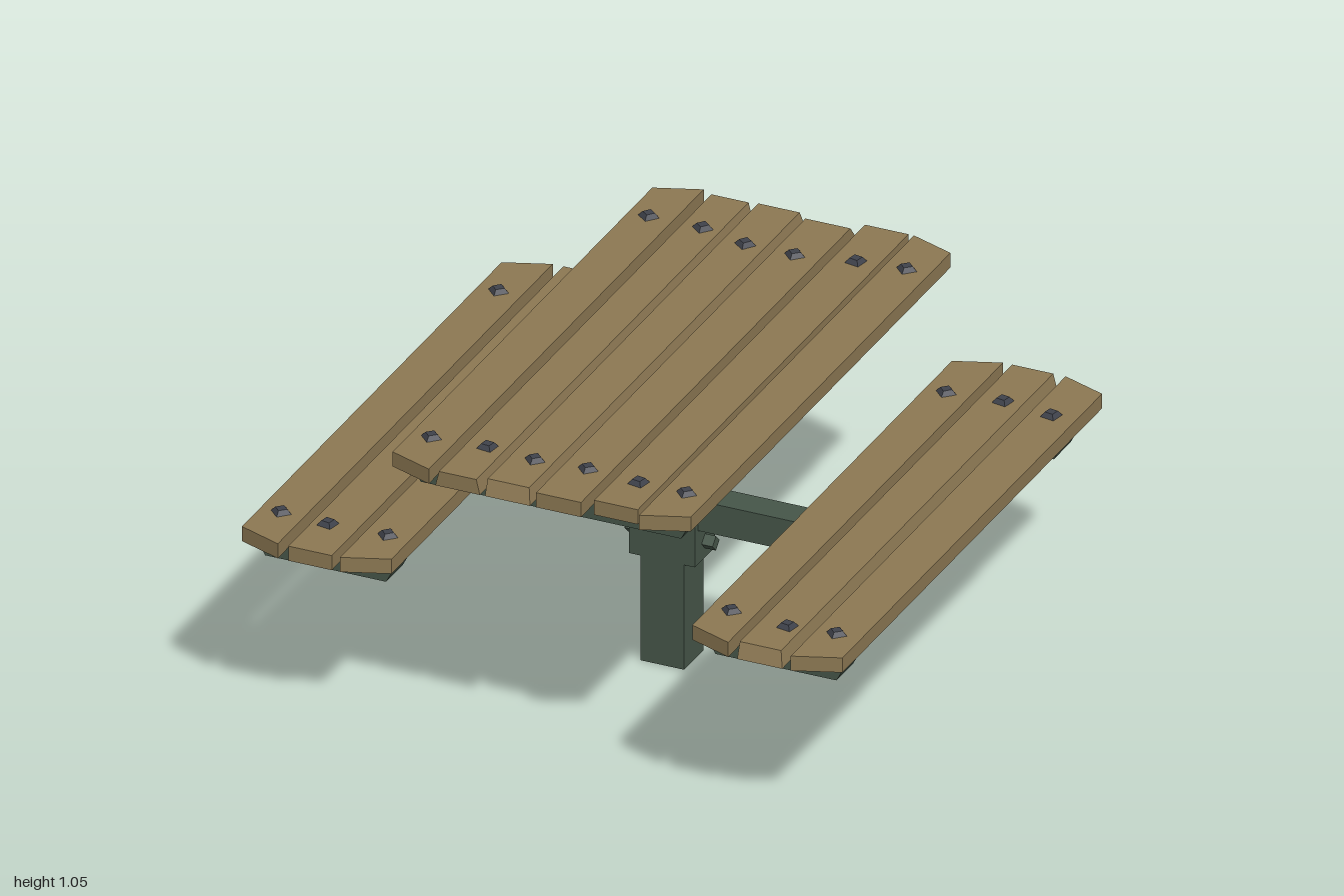
import * as THREE from 'three';

const wood = new THREE.MeshStandardMaterial({ color: 0x8c7853 });
wood.name = 'wood';
const green = new THREE.MeshStandardMaterial({ color: 0x465649 });
green.name = 'greenPaint';
const steel = new THREE.MeshStandardMaterial({ color: 0x3f424b });
steel.name = 'darkSteel';

export function createModel() {
  const model = new THREE.Group();
  model.name = 'picnicTable';

  const add = (name, geometry, material, x, y, z) => {
    const mesh = new THREE.Mesh(geometry, material);
    mesh.name = name;
    mesh.position.set(x, y, z);
    model.add(mesh);
    return mesh;
  };

  // Box given by its lower and upper limits
  const block = (name, x0, x1, y0, y1, z0, z1) =>
    add(name, new THREE.BoxGeometry(x1 - x0, y1 - y0, z1 - z0), green,
      (x0 + x1) / 2, (y0 + y1) / 2, (z0 + z1) / 2);

  // Box whose corners are moved by a rule: fn(vertex, signX, signY, signZ)
  const shapedBox = (w, h, d, fn) => {
    const geometry = new THREE.BoxGeometry(w, h, d);
    const pos = geometry.attributes.position;
    const v = new THREE.Vector3();
    for (let i = 0; i < pos.count; i++) {
      v.fromBufferAttribute(pos, i);
      fn(v, Math.sign(v.x), Math.sign(v.y), Math.sign(v.z));
      pos.setXYZ(i, v.x, v.y, v.z);
    }
    geometry.computeVertexNormals();
    return geometry;
  };

  // Square tapered bolt head, faceted
  const boltHead = (rTop, rBottom, h) => {
    const geometry = new THREE.CylinderGeometry(rTop, rBottom, h, 4).toNonIndexed();
    geometry.computeVertexNormals();
    return geometry;
  };
  const plankBolt = boltHead(0.02, 0.035, 0.016);

  // Planks: x limits, clipped side, bolts [x, z, turn], worn top insets, z limits
  const END = 0.987;
  const planks = [
    { x: [-1, -0.855], clip: -1, bolts: [[-0.93, -0.76, 0], [-0.93, 0.8, 0]] },
    { x: [-0.82, -0.675], bolts: [[-0.745, -0.76, 0.6], [-0.77, 0.81, 0.6]] },
    { x: [-0.648, -0.502], clip: 1, bolts: [[-0.575, -0.76, 0], [-0.575, 0.8, 0]] },
    { x: [-0.498, -0.352], clip: -1, bolts: [[-0.43, -0.76, 0.1], [-0.43, 0.8, 0]] },
    { x: [-0.33, -0.182], z: [-0.968, END], worn: [0.012, 0.012, 0, 0],
      bolts: [[-0.25, -0.76, 0.1], [-0.25, 0.785, 0.65]] },
    { x: [-0.165, -0.015], worn: [0, 0.012, 0.012, 0.02],
      bolts: [[-0.09, -0.72, 0.15], [-0.085, 0.8, 0]] },
    { x: [0.005, 0.155], worn: [0, 0, 0.04, 0],
      bolts: [[0.075, -0.72, 0], [0.085, 0.785, 0]] },
    { x: [0.185, 0.33], z: [-END, 0.957], bolts: [[0.26, -0.76, 0.6], [0.26, 0.8, 0.6]] },
    { x: [0.348, 0.495], clip: 1, bolts: [[0.42, -0.78, 0], [0.42, 0.8, 0]] },
    { x: [0.5, 0.645], clip: -1, bolts: [[0.57, -0.74, 0], [0.57, 0.8, 0]] },
    { x: [0.675, 0.825], worn: [0, 0.013, 0, 0.02],
      bolts: [[0.75, -0.76, 0.6], [0.765, 0.82, 0.6]] },
    { x: [0.853, 1], clip: 1, bolts: [[0.92, -0.74, 0.6], [0.92, 0.8, 0]] },
  ];
  planks.forEach(({ x, clip = 0, bolts, worn = [0, 0, 0, 0], z = [-END, END] }, i) => {
    const isTable = i > 2 && i < 9;
    const base = isTable ? 0.987 : 0.618;
    const geometry = shapedBox(x[1] - x[0], 0.05, z[1] - z[0], (v, sx, sy, sz) => {
      if (sx === clip) v.z -= sz * 0.055;
      if (sy > 0) {
        v.x -= sx * worn[sx < 0 ? 0 : 1];
        v.z -= sz * worn[sz < 0 ? 2 : 3];
      }
    });
    add(isTable ? 'tablePlank' : 'seatPlank', geometry, wood,
      (x[0] + x[1]) / 2, base + 0.025, (z[0] + z[1]) / 2);
    for (const [bx, bz, turn] of bolts) {
      add('plankBolt', plankBolt, steel, bx, base + 0.057, bz).rotation.y = turn;
    }
  });

  // Cross battens with undercut ends, and the long rails under the planks
  for (const { name, x, width, top } of [
    { name: 'table', x: 0, width: 0.94, top: 0.987 },
    { name: 'leftSeat', x: 0.75, width: 0.475, top: 0.618 },
    { name: 'rightSeat', x: -0.75, width: 0.475, top: 0.618 },
  ]) {
    const batten = shapedBox(width, 0.068, 0.12, (v, sx, sy) => {
      if (sy < 0) v.x -= sx * 0.036;
    });
    for (const z of [-0.75, 0.81]) add(name + 'Batten', batten, green, x, top - 0.034, z);
    block(name + 'Rail', x - 0.063, x + 0.063, top - 0.098, top - 0.002, -0.75, 0.75);
  }

  // Post, clamping sleeve and the arm carrying both seats
  block('post', -0.073, 0.073, 0, 0.984, -0.07, 0.07);
  block('sleeve', -0.11, 0.11, 0.36, 0.692, -0.072, 0.072);
  block('seatArm', -0.855, 0.855, 0.475, 0.578, -0.05, 0.05);

  // Sleeve bolts on both sides, above and below the arm
  const sleeveBolt = boltHead(0.025, 0.025, 0.037);
  for (const side of [-1, 1]) {
    for (const y of [0.416, 0.65]) {
      add('sleeveBolt', sleeveBolt, green, side * 0.128, y, 0).rotation.z = -side * Math.PI / 2;
    }
  }
  return model;
}
